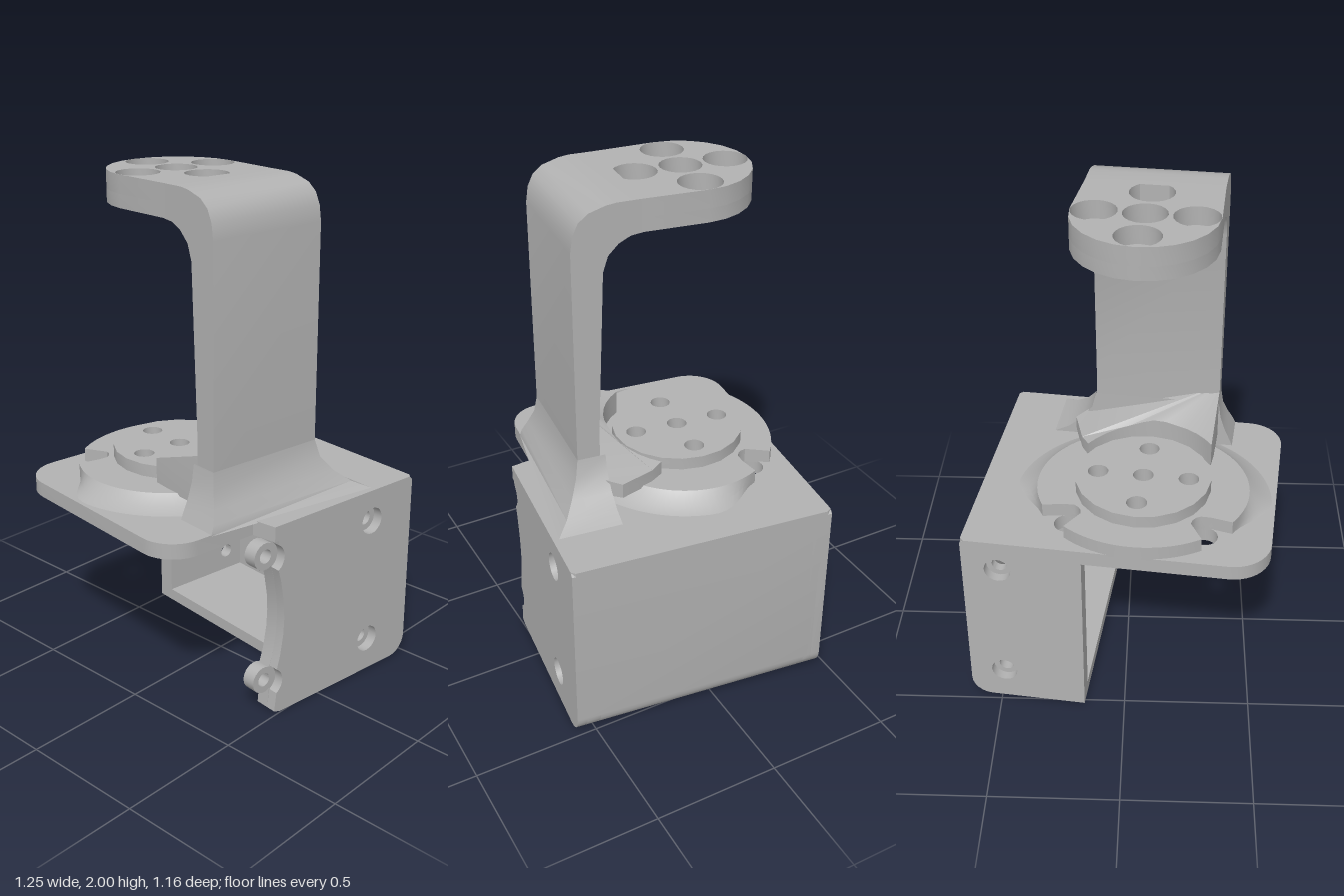
import * as THREE from 'three';
import { toCreasedNormals } from 'three/addons/utils/BufferGeometryUtils.js';

const CX = -0.082, CZ = -0.161; // axis shared by the disc and the upper pad
const V = (x, y) => new THREE.Vector2(x, y);

// circular hole path
function hole(x, y, r, n = 20) {
  const pts = [];
  for (let i = 0; i < n; i++) {
    const a = -(i / n) * Math.PI * 2;
    pts.push(V(x + r * Math.cos(a), y + r * Math.sin(a)));
  }
  return new THREE.Path(pts);
}

function shapeOf(points, holes = []) {
  const s = new THREE.Shape(points.map(p => Array.isArray(p) ? V(p[0], p[1]) : p));
  s.holes.push(...holes.map(h => hole(...h)));
  return s;
}

function extrude(shape, depth) {
  return new THREE.ExtrudeGeometry(shape, { depth, bevelEnabled: false, curveSegments: 10 });
}

// shape in (x, z), occupying y0..y1
function slab(shape, y0, y1) {
  return extrude(shape, y1 - y0).rotateX(Math.PI / 2).translate(0, y1, 0);
}

// shape in (x, y), occupying z0..z1
function wall(shape, z0, z1) {
  return extrude(shape, z1 - z0).translate(0, 0, z0);
}

// shape in (z, y), occupying x0..x1
function profile(shape, x0, x1) {
  return extrude(shape, x1 - x0).rotateY(-Math.PI / 2).translate(x1, 0, 0);
}

// side skin through closed rings, listed from bottom to top
function loft(rings) {
  const n = rings[0].length, idx = [];
  for (let k = 0; k + 1 < rings.length; k++)
    for (let i = 0; i < n; i++) {
      const a = k * n + i, b = k * n + (i + 1) % n;
      idx.push(a, a + n, b, b, a + n, b + n);
    }
  const g = new THREE.BufferGeometry();
  g.setAttribute('position', new THREE.Float32BufferAttribute(rings.flat(2), 3));
  g.setIndex(idx);
  return g.toNonIndexed();
}

// arc points from angle a0 to a1
function arc(cx, cy, r, a0, a1, n = 10) {
  return Array.from({ length: n + 1 }, (_, i) => {
    const a = a0 + (a1 - a0) * i / n;
    return [cx + r * Math.cos(a), cy + r * Math.sin(a)];
  });
}

// four bolt positions around the axis
const cross = r => [[0.178, 0], [-0.178, 0], [0, 0.178], [0, -0.178]].map(([x, z]) => [CX + x, CZ + z, r]);
const screwHoles = [[-0.262, -0.211], [0.262, -0.211]];

// raised plate outline: an oval notched by the two rear screw holes
function plateRadius(a) {
  let r = 1 / Math.hypot(Math.cos(a) / 0.415, Math.sin(a) / 0.38);
  for (const [x, z] of screwHoles) {
    const d = Math.hypot(x, z), off = a - Math.atan2(z, x), s = d * Math.sin(off);
    if (Math.cos(off) > 0 && Math.abs(s) < 0.052) r = Math.min(r, d * Math.cos(off) - Math.sqrt(0.052 ** 2 - s * s));
  }
  return r;
}

export function createModel() {
  const group = new THREE.Group();
  const grey = new THREE.MeshStandardMaterial({ color: 0xb2b2b2 });
  grey.name = 'grey plastic';
  const body = new THREE.Group();
  body.name = 'bracket';
  body.rotation.y = -0.117;
  group.add(body);
  const add = (name, geo) => {
    const m = new THREE.Mesh(toCreasedNormals(geo, 0.6), grey);
    m.name = name;
    body.add(m);
  };
  const P = Math.PI;

  // top plate with the rounded flange on the open side
  const smallHoles = screwHoles.map(([x, z]) => [CX + x, CZ + z, 0.052]);
  const topOutline = [
    ...arc(-0.45, -0.383, 0.15, P, 1.5 * P), [0.55, -0.533], [0.564, -0.515],
    [0.564, 0.5], [0.55, 0.515], [-0.18, 0.515], [-0.2, 0.415],
    ...arc(-0.46, 0.275, 0.14, P / 2, P)];
  add('topPlate', slab(shapeOf(topOutline, [...cross(0.078), [CX, CZ, 0.04], ...smallHoles]), 0.735, 0.795));

  // raised plate with sloping skirt
  const N = 96, angles = Array.from({ length: N }, (_, i) => i / N * 2 * P);
  const ring = (y, extra) => angles.map(a => {
    const r = plateRadius(a) + extra * THREE.MathUtils.smoothstep(Math.sin(a), -0.4, 0.1);
    return [CX + r * Math.cos(a), y, CZ + r * Math.sin(a)];
  });
  const fiveHoles = [...cross(0.04), [CX, CZ, 0.04]];
  add('raisedPlate', slab(shapeOf(ring(0, 0).map(p => [p[0], p[2]]), fiveHoles), 0.79, 0.85));
  add('plateSkirt', loft([ring(0.795, 0.09), ring(0.812, 0.045), ring(0.85, 0)]));

  // mounting disc
  add('mountingDisc', slab(shapeOf(arc(CX, CZ, 0.265, 0, 2 * P, 20).slice(0, -1), fiveHoles), 0.845, 0.9));

  // curb hugging the disc, its top ramping up to the arm
  const curb = slab(shapeOf([
    ...arc(CX, CZ, 0.3, P - 0.6, 0.6, 12), [0.2, 0.06], [0.25, 0.2], [0.172, 0.3], [-0.335, 0.3], [-0.335, 0.08]]), 0.84, 0.9);
  const pos = curb.attributes.position;
  for (let i = 0; i < pos.count; i++) {
    if (pos.getY(i) < 0.87) continue;
    const side = THREE.MathUtils.clamp((0.2 - pos.getX(i)) / 0.3, 0, 1);
    const ramp = THREE.MathUtils.clamp((pos.getZ(i) - 0.13) / 0.1, 0, 1);
    pos.setY(i, 0.9 + side * (0.05 + 0.1 * ramp));
  }
  curb.computeVertexNormals();
  add('curb', curb);

  // flared foot of the arm: y, x left, x right, z at left, z at right
  const foot = [
    [0.79, -0.4, 0.36, 0.415, 0.5], [0.825, -0.385, 0.29, 0.41, 0.44], [0.87, -0.365, 0.235, 0.39, 0.4],
    [0.93, -0.345, 0.19, 0.363, 0.366], [1.0, -0.335, 0.172, 0.352, 0.352]];
  add('armFoot', loft(foot.map(([y, x0, x1, zl, zr]) => [[x0, y, 0.24], [x1, y, 0.24], [x1, y, zr], [x0, y, zl]])));

  // upright arm with rounded elbow
  add('arm', profile(shapeOf([
    [0.262, 0.82], [0.352, 0.82], [0.352, 1.84], [0.343, 1.9], [0.322, 1.945], [0.285, 1.975], [0.22, 1.995], [0.18, 2],
    [0.08, 2], [0.08, 1.878], [0.13, 1.872], [0.175, 1.85], [0.215, 1.81], [0.235, 1.75], [0.262, 1.1]]), -0.335, 0.172));

  // upper pad with counterbored holes, in two layers
  const pad = [[0.172, 0.09], [-0.335, 0.09], ...arc(CX, CZ, 0.262, P, 2 * P, 12)];
  add('padTop', slab(shapeOf(pad, [...cross(0.083), [CX, CZ, 0.08]]), 1.93, 2));
  add('padBottom', slab(shapeOf(pad, [...cross(0.038), [CX, CZ, 0.08]]), 1.878, 1.93));

  // side wall and floor of the box
  add('sideAndFloor', wall(shapeOf([
    [0.1, 0], ...arc(0.484, 0.08, 0.08, -P / 2, 0, 6), [0.564, 0.78], [0.555, 0.79],
    [0.51, 0.79], [0.51, 0.05], [0.1, 0.05]]), -0.53, 0.512));

  // back wall, counterbored from outside
  const right = [...arc(0.484, 0.08, 0.08, -P / 2, 0, 6), [0.564, 0.78], [0.555, 0.79]];
  const back = [[0.1, 0], ...right, [0.1, 0.79]];
  const screws = (x, r) => [[x, 0.14, r], [x, 0.665, r]];
  add('backWallOuter', wall(shapeOf(back, screws(0.425, 0.052)), -0.533, -0.495));
  add('backWallInner', wall(shapeOf(back, screws(0.425, 0.03)), -0.495, -0.46));

  // front wall: the inner layer carries the ears, the outer layer is cut around them
  const EX = -0.19;
  const frontOutline = ears => {
    const edge = y => ears ? arc(EX, y, 0.055, P / 3, P * 5 / 3, 12) : arc(EX, y, 0.06, P / 3, -P / 3, 8);
    return [[-0.17, 0.01], [-0.14, 0], ...right, [-0.17, 0.79], ...edge(0.665),
      [-0.145, 0.56], [-0.13, 0.47], [-0.126, 0.4], [-0.13, 0.33], [-0.145, 0.245], ...edge(0.14)];
  };
  add('frontWallInner', wall(shapeOf(frontOutline(true), [...screws(0.338, 0.03), ...screws(EX, 0.028)]), 0.42, 0.475));
  add('frontWallOuter', wall(shapeOf(frontOutline(false), screws(0.338, 0.055)), 0.475, 0.515));

  return group;
}
